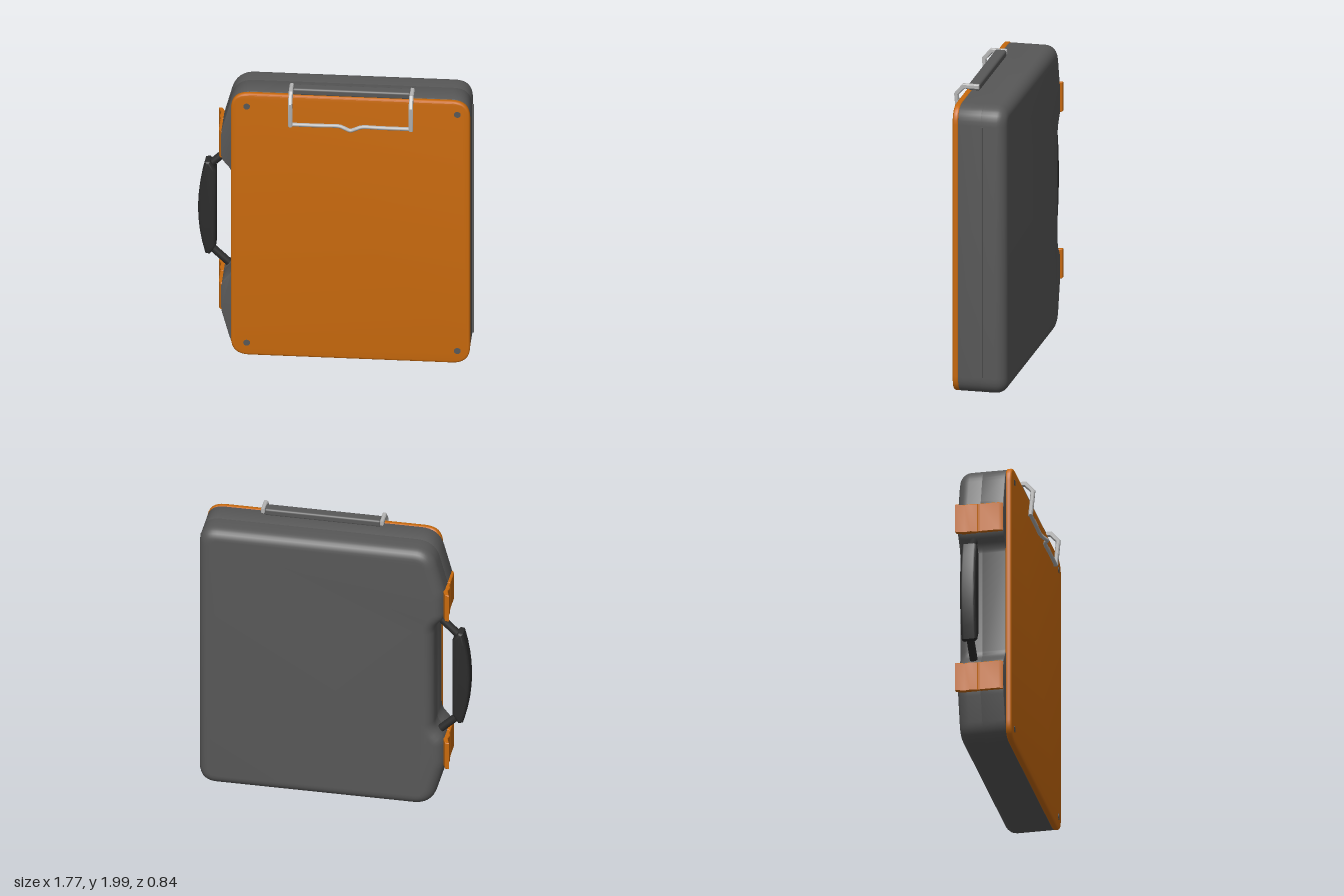
import * as THREE from 'three';
import { toCreasedNormals } from 'three/addons/utils/BufferGeometryUtils.js';
import { RoundedBoxGeometry } from 'three/addons/geometries/RoundedBoxGeometry.js';

const mat = (color) => new THREE.MeshStandardMaterial({ color });
const V = (x, y, z) => new THREE.Vector3(x, y, z);

// Closed outline from [x, y, cornerCut] points
function outline(pts) {
  const s = new THREE.Shape(), n = pts.length;
  const toward = (a, b, d) => {
    const l = Math.hypot(b[0] - a[0], b[1] - a[1]);
    return [a[0] + (b[0] - a[0]) * d / l, a[1] + (b[1] - a[1]) * d / l];
  };
  pts.forEach((p, i) => {
    const a = toward(p, pts[(i + n - 1) % n], p[2]), b = toward(p, pts[(i + 1) % n], p[2]);
    if (i === 0) s.moveTo(...a); else s.lineTo(...a);
    s.quadraticCurveTo(p[0], p[1], ...b);
  });
  s.closePath();
  return s;
}

// Bevelled slab between two depths
function slab(shape, z0, z1, bevel, steps = 3) {
  const g = new THREE.ExtrudeGeometry(shape, {
    depth: z1 - z0 - 2 * bevel, bevelThickness: bevel, bevelSize: bevel,
    bevelOffset: -bevel, bevelSegments: steps, curveSegments: 8,
  });
  g.translate(0, 0, z0 + bevel);
  return toCreasedNormals(g, 0.6);
}

// Plain prism from a list of [x, y] points
function prism(pts, depth, bevel = 0.004) {
  return slab(new THREE.Shape(pts.map((p) => new THREE.Vector2(...p))), 0, depth, bevel, 1);
}

export function createModel() {
  const root = new THREE.Group();
  const body = new THREE.Group();
  body.name = 'case';
  body.rotation.y = THREE.MathUtils.degToRad(20);
  root.add(body);

  const grey = mat(0x585858), orange = mat(0xc8690c), black = mat(0x2b2b2b), steel = mat(0xb4b4b4);
  const add = (name, geo, material, x = 0, y = 0, z = 0) => {
    const m = new THREE.Mesh(geo, material);
    m.name = name;
    m.position.set(x, y, z);
    body.add(m);
    return m;
  };
  const rod = (name, a, b, r, material) => {
    const d = b.clone().sub(a);
    const m = add(name, new THREE.CylinderGeometry(r, r, d.length(), 14), material);
    m.position.copy(a).add(b).multiplyScalar(0.5);
    m.quaternion.setFromUnitVectors(V(0, 1, 0), d.normalize());
  };

  // Shells: notched side on the left, mirrored top to bottom
  const MID = 0.98;
  const upper = [[0.87, 0.975, 0.12], [-0.665, 0.975, 0.12], [-0.752, 0.655, 0.04],
    [-0.752, 0.465, 0.04], [-0.68, 0.38, 0.04]];
  const lower = upper.map(([x, y, c]) => [x, -y, c]).reverse();
  const caseOutline = outline([...upper, ...lower].map(([x, y, c]) => [x, y + MID, c]));
  add('rearShell', slab(caseOutline, -0.16, 0.07, 0.075, 7), grey);
  add('frontShell', slab(caseOutline, -0.003, 0.155, 0.007, 2), grey);
  add('seamLip', new THREE.BoxGeometry(0.02, 1.7, 0.016), grey, 0.872, MID, -0.006);

  // Front panel with corner screws
  const panel = outline([[0.872, 0.005, 0.12], [0.872, 1.955, 0.12], [-0.683, 1.955, 0.12], [-0.683, 0.005, 0.12]]);
  add('frontPanel', slab(panel, 0.15, 0.192, 0.014), orange);
  for (const x of [-0.58, 0.79]) for (const y of [0.098, 1.862]) {
    const g = new THREE.CylinderGeometry(0.022, 0.022, 0.012, 16);
    g.rotateX(Math.PI / 2);
    add('screw', g, grey, x, y, 0.188);
  }

  // Side latches: front plate, flared rear tab and knuckle
  const plate = [[-0.766, 0], [-0.766, -0.125], [-0.752, -0.152], [-0.722, -0.152], [-0.722, 0]];
  const tab = [[-0.762, 0.012], [-0.775, 0.06], [-0.768, 0.1], [-0.788, 0.158], [-0.762, 0.158], [-0.735, 0.1], [-0.735, 0.012]];
  for (const y of [0.315, 1.447]) {
    for (const [name, pts] of [['latchPlate', plate], ['latchTab', tab]]) {
      const g = prism(pts, 0.2);
      g.rotateX(-Math.PI / 2);
      add(name, g, orange, 0, y, 0);
    }
    add('latchKnuckle', new THREE.CylinderGeometry(0.016, 0.016, 0.196, 14), orange, -0.752, y + 0.1, -0.006);
  }

  // Carrying handle: bowed grip on two slanted arms
  const grip = new THREE.Shape();
  grip.moveTo(-0.795, 0.7);
  grip.lineTo(-0.795, 1.26);
  grip.lineTo(-0.835, 1.325);
  grip.lineTo(-0.865, 1.32);
  grip.quadraticCurveTo(-0.96, 0.98, -0.865, 0.64);
  grip.lineTo(-0.835, 0.635);
  grip.closePath();
  add('handleGrip', slab(grip, -0.103, 0.003, 0.02, 4), black);
  for (const s of [1, -1]) {
    rod('handleArm', V(-0.84, MID + s * 0.3, -0.05), V(-0.69, MID + s * 0.445, -0.05), 0.026, black);
  }

  // Clip hinge block on the top edge
  add('clipHinge', new RoundedBoxGeometry(0.77, 0.05, 0.075, 4, 0.015), grey, 0.1, 1.973, 0.138);

  // Clip side arms
  const arm = [[-0.1, 1.998], [-0.21, 1.998], [-0.267, 1.93], [-0.25, 1.752], [-0.222, 1.752],
    [-0.238, 1.922], [-0.196, 1.966], [-0.1, 1.966]];
  for (const x of [-0.306, 0.478]) {
    const g = prism(arm, 0.028, 0.006);
    g.rotateY(Math.PI / 2);
    add('clipArm', g, steel, x, 0, 0);
  }

  // Clip crossbar with a finger bump in the middle
  const bar = new THREE.CatmullRomCurve3([
    [-0.3, 1.765, 0.234], [-0.1, 1.765, 0.234], [0.03, 1.765, 0.234], [0.065, 1.758, 0.247], [0.1, 1.754, 0.264],
    [0.135, 1.758, 0.247], [0.17, 1.765, 0.234], [0.3, 1.765, 0.234], [0.5, 1.765, 0.234],
  ].map((p) => V(...p)), false, 'centripetal');
  add('clipBar', new THREE.TubeGeometry(bar, 80, 0.013, 10), steel);

  return root;
}
